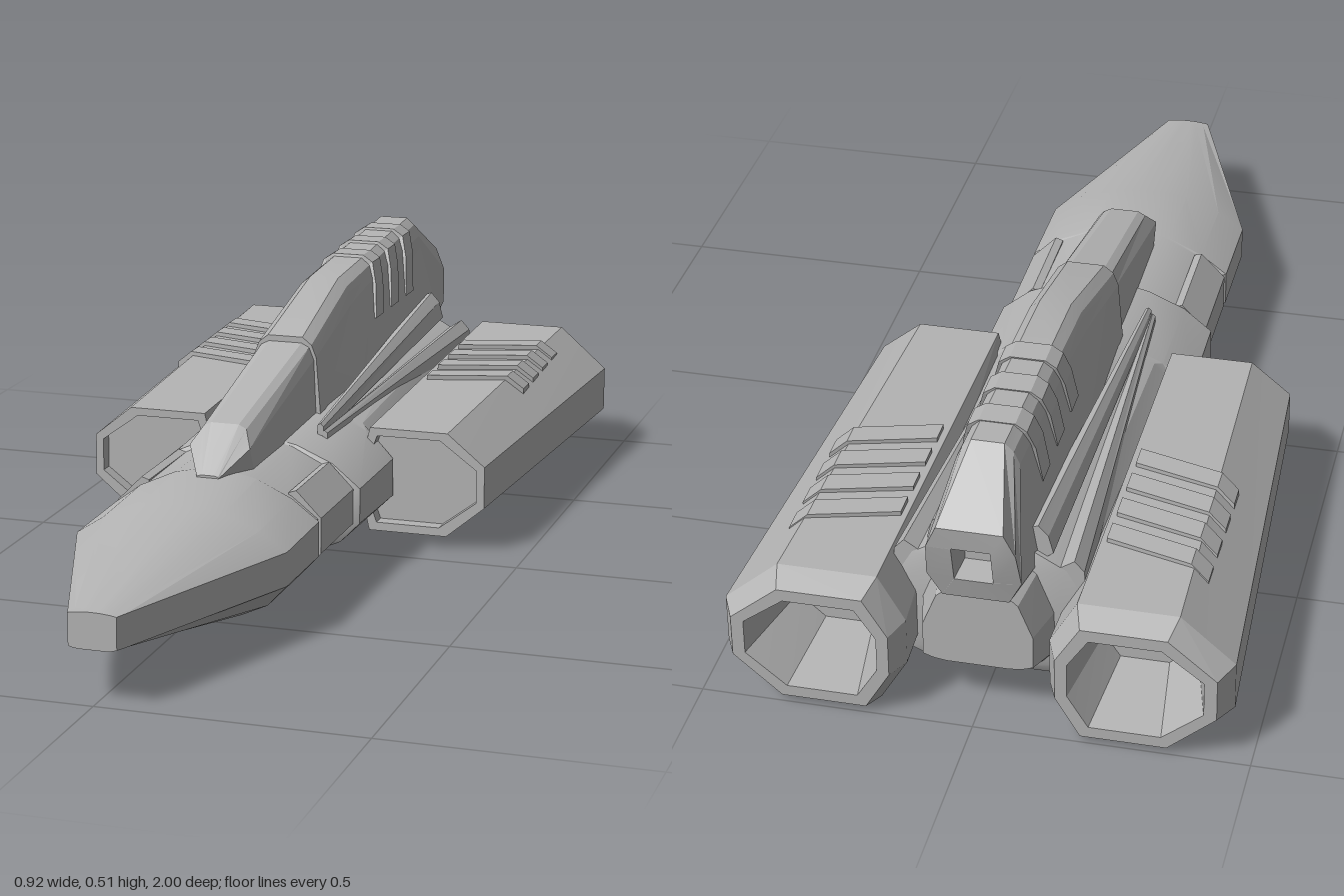
import * as THREE from 'three';
import { toCreasedNormals } from 'three/addons/utils/BufferGeometryUtils.js';

const grey = new THREE.MeshStandardMaterial({ color: 0xb4b4b4 });
grey.name = 'hull grey';

// Skin a list of rings (counter-clockwise seen from the front, ordered nose to tail) and cap both ends
function loft(name, rings, side = 1, crease = 0.35) {
  if (side < 0) rings = rings.map(r => r.map(([x, y, z]) => [-x, y, z]).reverse());
  const n = rings[0].length, pos = [], idx = [];
  rings.forEach(r => r.forEach(p => pos.push(...p)));
  for (let i = 0; i < rings.length - 1; i++) {
    for (let j = 0; j < n; j++) {
      const a = i * n + j, b = i * n + (j + 1) % n;
      idx.push(a, a + n, b + n, a, b + n, b);
    }
  }
  [0, rings.length - 1].forEach((r, end) => {
    const c = pos.length / 3;
    pos.push(...[0, 1, 2].map(k => rings[r].reduce((s, p) => s + p[k], 0) / n));
    for (let j = 0; j < n; j++) {
      const a = r * n + j, b = r * n + (j + 1) % n;
      idx.push(c, end ? b : a, end ? a : b);
    }
  });
  const g = new THREE.BufferGeometry();
  g.setAttribute('position', new THREE.Float32BufferAttribute(pos, 3));
  g.setIndex(idx);
  const mesh = new THREE.Mesh(toCreasedNormals(g, crease), grey);
  mesh.name = name;
  return mesh;
}

// Symmetric ring from its +x half, listed bottom to top; a third number shifts z
const sym = (z, half) => {
  const r = half.map(([x, y, dz = 0]) => [x, y, z + dz]);
  return [...r, ...r.map(([x, y, w]) => [-x, y, w]).reverse()];
};
const flat = (z, pts) => pts.map(([x, y]) => [x, y, z]);

// Hull ring from half width, shoulder, belly and crown
const hullRing = (z, w, lo, hi, belly, shoulder, crown) => sym(z, [
  [w * 0.58, belly], [w * 0.82, belly + (lo - belly) * 0.36], [w, lo], [w, hi],
  [w * 0.74, shoulder], [w * 0.4, shoulder + (crown - shoulder) * 0.75], [w * 0.15, crown],
]);

export function createModel() {
  const ship = new THREE.Group();
  ship.name = 'spacecraft';

  // Main hull with stepped collar
  ship.add(loft('hull', [
    hullRing(1, 0.045, 0.106, 0.166, 0.102, 0.168, 0.17),
    hullRing(0.98, 0.052, 0.105, 0.166, 0.1, 0.169, 0.172),
    hullRing(0.55, 0.205, 0.1, 0.165, 0.037, 0.2, 0.235),
    hullRing(0.355, 0.205, 0.1, 0.168, 0.037, 0.208, 0.251),
    hullRing(0.35, 0.198, 0.1, 0.168, 0.037, 0.208, 0.251),
    hullRing(0.13, 0.198, 0.1, 0.17, 0.037, 0.212, 0.256),
    hullRing(0.125, 0.216, 0.1, 0.17, 0.036, 0.216, 0.258),
    hullRing(-0.1, 0.218, 0.095, 0.172, 0.035, 0.225, 0.27),
    hullRing(-0.12, 0.2, 0.095, 0.172, 0.035, 0.235, 0.275),
    hullRing(-0.86, 0.19, 0.09, 0.175, 0.035, 0.262, 0.31),
    hullRing(-0.87, 0.12, 0.09, 0.175, 0.05, 0.255, 0.3),
    hullRing(-0.95, 0.1, 0.11, 0.175, 0.1, 0.24, 0.28),
  ]));

  // Cockpit fairing and tall spine ending in a square exhaust port
  ship.add(loft('canopy', [
    sym(0.4, [[0.02, 0.235], [0.022, 0.248], [0.02, 0.25], [0.012, 0.252]]),
    sym(0.3, [[0.06, 0.23], [0.06, 0.29, 0.03], [0.043, 0.32], [0.028, 0.328]]),
    sym(-0.07, [[0.066, 0.24], [0.06, 0.37], [0.05, 0.395], [0.034, 0.403]]),
  ], 1, 0.2));
  ship.add(loft('spine', [
    sym(-0.07, [[0.076, 0.24], [0.065, 0.375], [0.055, 0.4], [0.036, 0.415]]),
    sym(-0.33, [[0.084, 0.26], [0.06, 0.43], [0.049, 0.465], [0.03, 0.481]]),
    sym(-0.5, [[0.086, 0.27], [0.058, 0.45], [0.048, 0.476], [0.03, 0.49]]),
    sym(-0.85, [[0.09, 0.27], [0.057, 0.47], [0.046, 0.495], [0.03, 0.51]]),
    sym(-0.99, [[0.06, 0.25, 0.035], [0.085, 0.3, 0.025], [0.08, 0.37, 0.005], [0.06, 0.415]]),
    sym(-0.985, [[0.035, 0.295, 0.018], [0.035, 0.296, 0.018], [0.035, 0.37], [0.034, 0.371]]),
    sym(-0.91, [[0.03, 0.3], [0.03, 0.301], [0.03, 0.365], [0.029, 0.366]]),
  ], 1, 0.2));

  // Slanted ribs wrapping the spine
  for (let i = 0; i < 3; i++) {
    const z = -0.5 - i * 0.115, up = i * 0.006;
    const half = [[0.074, 0.37, 0.035], [0.066, 0.44 + up, 0.015], [0.054, 0.482 + up], [0.033, 0.496 + up]];
    ship.add(loft('spineRib', [sym(z, half), sym(z - 0.055, half)], 1, 0.1));
  }

  for (const side of [1, -1]) {
    const part = new THREE.Group();
    part.name = side > 0 ? 'leftSide' : 'rightSide';
    ship.add(part);

    // Raised plate in the hull recess
    const plate = [[0.14, 0.06], [0.165, 0.06], [0.204, 0.1], [0.204, 0.17], [0.155, 0.22], [0.14, 0.215]];
    part.add(loft('sidePlate', [flat(0.34, plate), flat(0.13, plate)], side, 0.1));

    // Tapered strakes beside the spine
    part.add(loft('upperStrake', [
      flat(0.03, [[0.1, 0.24], [0.112, 0.245], [0.112, 0.262], [0.106, 0.268], [0.1, 0.265]]),
      flat(-0.85, [[0.06, 0.25], [0.115, 0.29], [0.106, 0.325], [0.088, 0.345], [0.07, 0.338]]),
    ], side, 0.1));
    part.add(loft('lowerStrake', [
      flat(0.03, [[0.11, 0.22], [0.12, 0.235], [0.12, 0.25], [0.114, 0.255], [0.11, 0.25]]),
      flat(-0.86, [[0.1, 0.22], [0.175, 0.22], [0.173, 0.265], [0.155, 0.285], [0.125, 0.265]]),
    ], side, 0.1));

    // Engine: recessed intake, faceted casing, hollow nozzle
    const intake = [[0.19, 0.042], [0.32, 0.042], [0.396, 0.1], [0.396, 0.166], [0.32, 0.222], [0.19, 0.222], [0.17, 0.166], [0.17, 0.1]];
    part.add(loft('engine', [
      flat(-0.11, intake),
      flat(-0.08, intake),
      flat(-0.08, [[0.175, 0.025], [0.335, 0.025], [0.412, 0.09], [0.412, 0.175], [0.335, 0.238], [0.175, 0.238], [0.16, 0.175], [0.16, 0.09]]),
      flat(-0.95, [[0.18, 0], [0.362, 0], [0.462, 0.085], [0.462, 0.177], [0.362, 0.264], [0.18, 0.264], [0.13, 0.177], [0.13, 0.085]]),
      flat(-1, [[0.195, 0.013], [0.35, 0.013], [0.438, 0.09], [0.438, 0.172], [0.35, 0.245], [0.195, 0.245], [0.15, 0.172], [0.15, 0.09]]),
      flat(-1, [[0.21, 0.035], [0.34, 0.035], [0.415, 0.097], [0.415, 0.165], [0.34, 0.222], [0.21, 0.222], [0.172, 0.165], [0.172, 0.097]]),
      flat(-0.82, [[0.23, 0.06], [0.32, 0.06], [0.37, 0.105], [0.37, 0.155], [0.32, 0.2], [0.23, 0.2], [0.2, 0.155], [0.2, 0.105]]),
    ], side, 0.05));

    // Swept louvres on the engine top, folding over its outer edge
    for (let i = 0; i < 4; i++) {
      const z0 = -0.45 - i * 0.085, up = i * 0.0026;
      const ring = dz => [[0.19, 0.235], [0.35, 0.235], [0.385, 0.215], [0.385, 0.232], [0.352, 0.259], [0.19, 0.259]]
        .map(([x, y]) => [x, y + up, z0 + dz - (x - 0.19) * 0.28]);
      part.add(loft('louvre', [ring(0), ring(-0.048)], side, 0.1));
    }
  }
  return ship;
}
